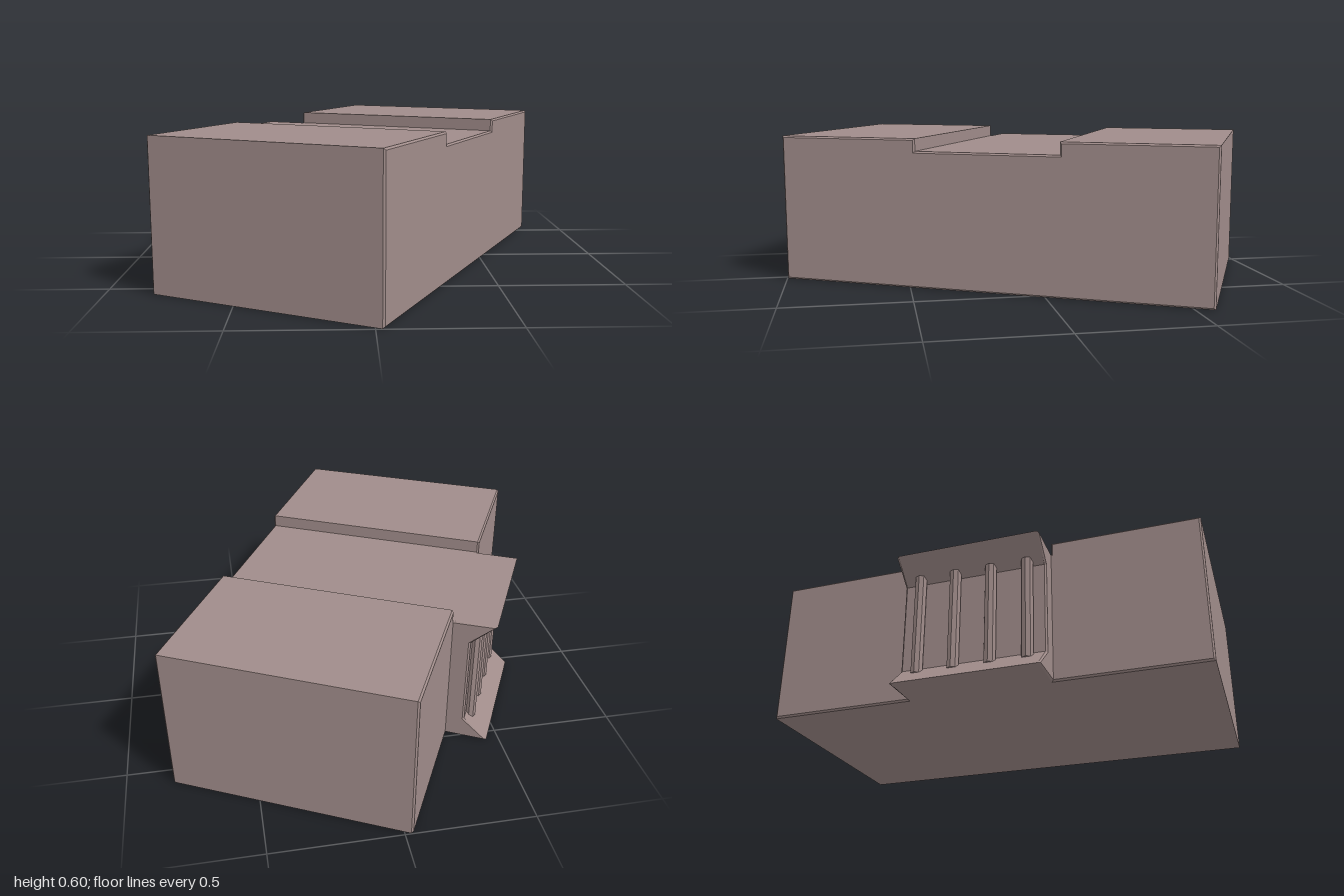
import * as THREE from 'three';

// Extrudes a closed 2D profile to a total depth, centred, with tiny chamfers.
function chamferedExtrusion(points, depth) {
  const c = 0.007;
  const shape = new THREE.Shape(points.map(([x, y]) => new THREE.Vector2(x, y)));
  const geometry = new THREE.ExtrudeGeometry(shape, {
    depth: depth - 2 * c, bevelEnabled: true, bevelSegments: 1,
    bevelSize: c, bevelThickness: c, bevelOffset: -c,
  });
  return geometry.translate(0, 0, c - depth / 2);
}

export function createModel() {
  const model = new THREE.Group();
  model.name = 'building';
  const stone = new THREE.MeshStandardMaterial({ color: 0xa08c8a });
  stone.name = 'mauve stone';

  const add = (name, geometry, x = 0, y = 0, z = 0) => {
    const mesh = new THREE.Mesh(geometry, stone);
    mesh.name = name;
    mesh.position.set(x, y, z);
    model.add(mesh);
  };

  const halfLength = 0.88, halfWidth = 0.477, halfBay = 0.293;
  const height = 0.6, roof = 0.55;

  // Main block with the sunken roof strip across the middle
  const body = chamferedExtrusion([
    [-halfLength, 0], [halfLength, 0], [halfLength, height], [halfBay, height],
    [halfBay, roof], [-halfBay, roof], [-halfBay, height], [-halfLength, height],
  ], halfWidth * 2);
  add('mainBlock', body.rotateY(-Math.PI / 2));

  // Entrance bay with flared base and cornice
  const wall = -0.55, tip = -0.648;
  add('entranceBay', chamferedExtrusion([
    [-0.44, 0], [tip, 0], [wall, 0.09], [wall, 0.46], [tip, roof], [-0.44, roof],
  ], halfBay * 2));

  // Four columns along the bay wall
  for (let i = 0; i < 4; i++) {
    add('column', new THREE.CylinderGeometry(0.024, 0.024, 0.42, 8).toNonIndexed(),
      wall - 0.012, roof / 2, (i - 1.5) * 0.147);
  }
  model.children.filter((m) => m.name === 'column').forEach((m) => m.geometry.computeVertexNormals());

  // The whole building stands turned on its plot
  model.rotation.y = -0.467;
  return model;
}
